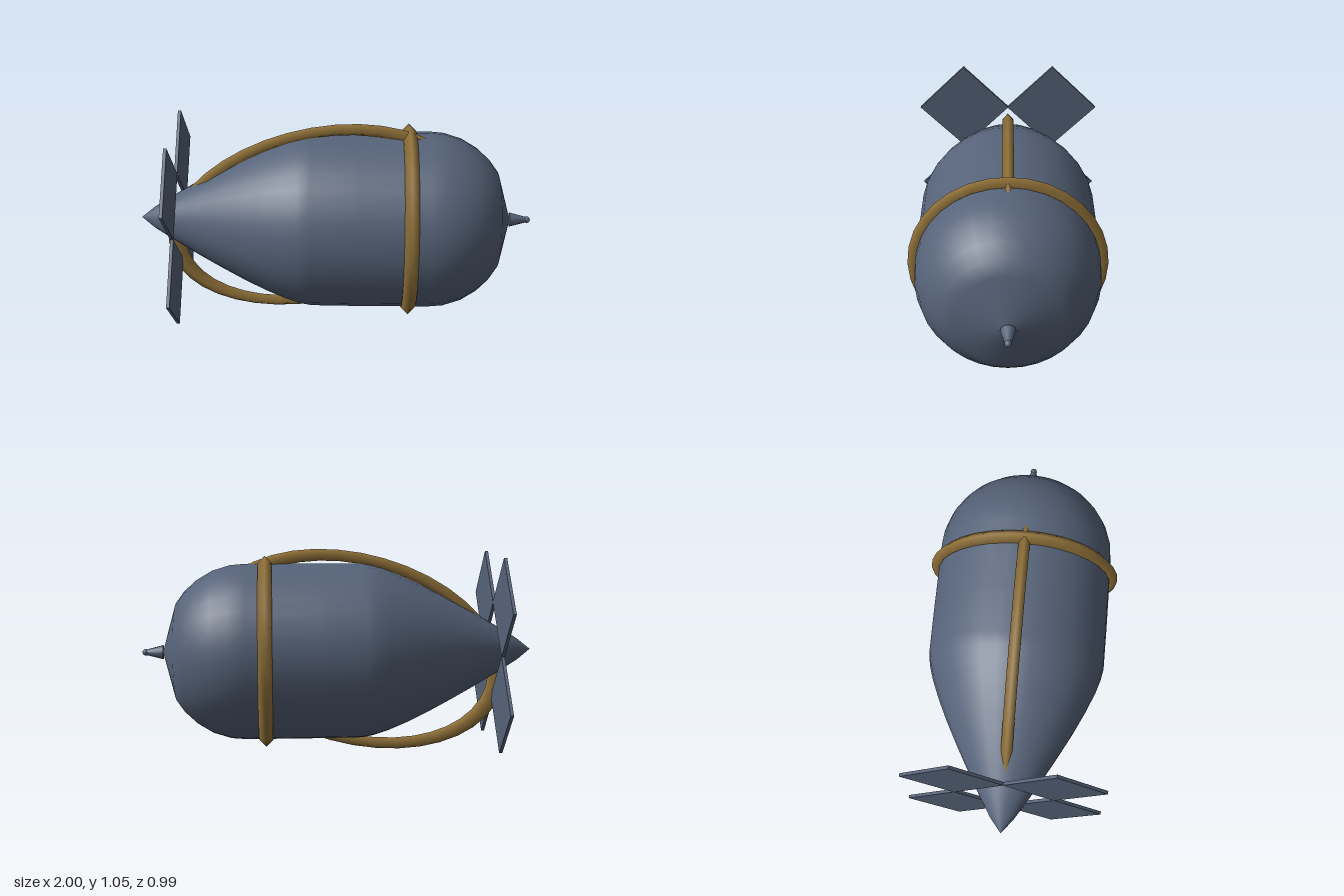
import * as THREE from 'three';

export function createModel() {
  const steel = new THREE.MeshStandardMaterial({ color: 0x566379 });
  steel.name = 'blue grey steel';
  const brass = new THREE.MeshStandardMaterial({ color: 0x92733a });
  brass.name = 'dull brass';

  const model = new THREE.Group();
  model.name = 'finnedBomb';
  const axis = new THREE.Group(); // long axis runs along x
  axis.name = 'bombAssembly';
  axis.position.y = 0.53;
  model.add(axis);

  const add = (name, geometry, material) => {
    const mesh = new THREE.Mesh(geometry, material);
    mesh.name = name;
    axis.add(mesh);
    return mesh;
  };

  // Casing: pointed tail, straight barrel, blunt nose, as [x, radius]
  const profile = [
    [-1, 0], [-0.93, 0.056], [-0.82, 0.123], [-0.7, 0.193], [-0.58, 0.259],
    [-0.46, 0.322], [-0.35, 0.374], [-0.25, 0.415], [-0.18, 0.437], [-0.12, 0.448],
    [0.1, 0.45], [0.47, 0.45], [0.55, 0.443], [0.64, 0.415], [0.72, 0.367],
    [0.78, 0.312], [0.825, 0.25], [0.895, 0],
  ].map(([x, r]) => new THREE.Vector2(r, x));
  add('casing', new THREE.LatheGeometry(profile, 32).rotateZ(-Math.PI / 2), steel);

  // Four square tail fins, set on the diagonals around the tail cone
  for (let i = 0; i < 4; i++) {
    const fin = new THREE.BoxGeometry(0.016, 0.35, 0.35);
    fin.translate(-0.81, 0.347, 0).rotateX(Math.PI / 4 + (i * Math.PI) / 2);
    add('tailFin' + (i + 1), fin, steel);
  }

  // Band around the barrel
  add('barrelBand', new THREE.TorusGeometry(0.455, 0.035, 4, 32).rotateY(Math.PI / 2), brass)
    .position.x = 0.372;

  // Long tilted loop running over the casing and under the tail
  const loop = add('carryLoop', new THREE.TorusGeometry(0.466, 0.028, 4, 40), brass);
  loop.scale.x = 1.6;
  loop.rotation.z = 0.288;
  loop.position.x = -0.1;

  // Fuse: tapered stem with a small knob
  add('fuseStem', new THREE.CylinderGeometry(0.013, 0.037, 0.09, 10).rotateZ(-Math.PI / 2), steel)
    .position.x = 0.938;
  add('fuseKnob', new THREE.SphereGeometry(0.017, 12, 8), steel).position.x = 0.983;

  return model;
}
